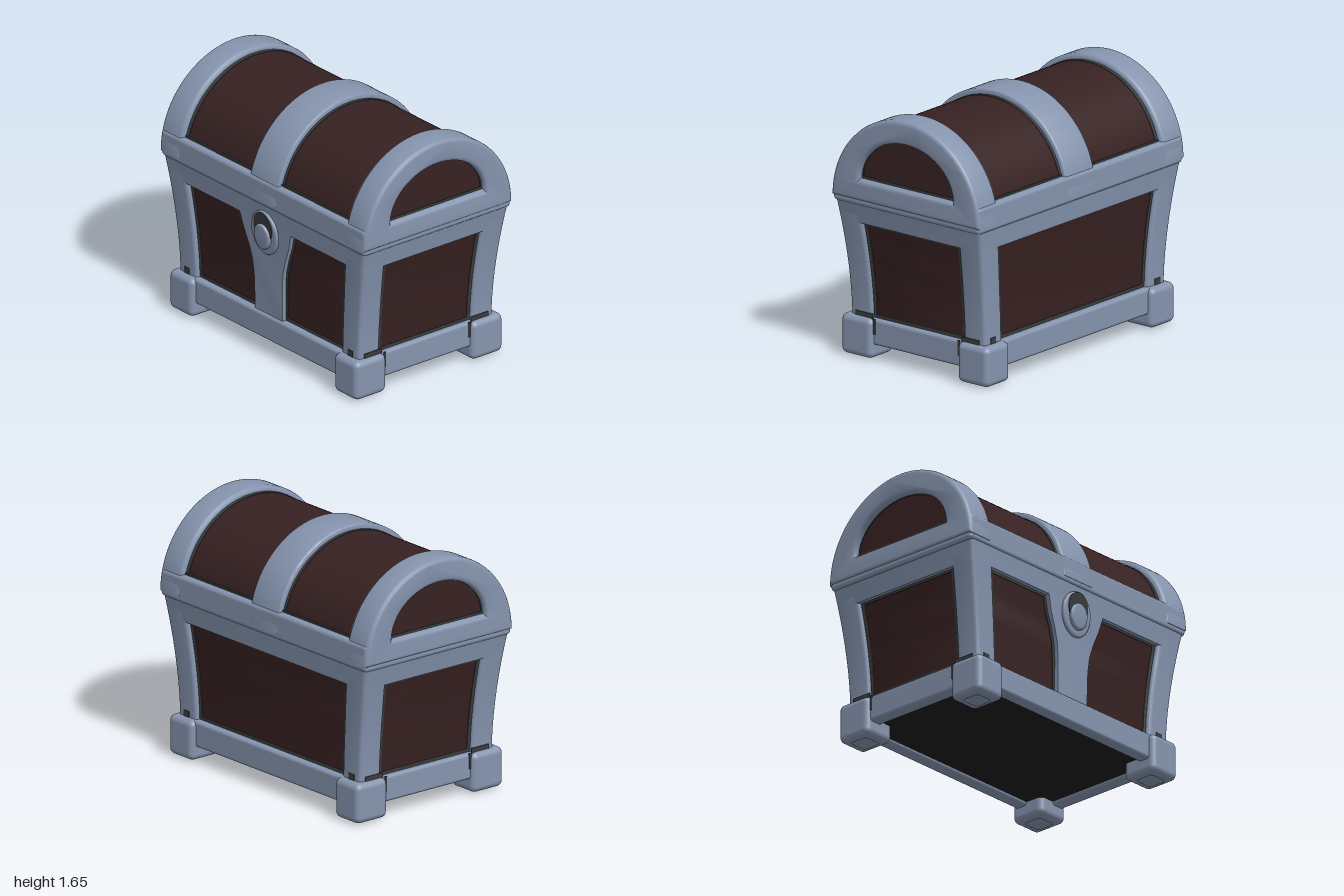
import * as THREE from 'three';
import { toCreasedNormals } from 'three/addons/utils/BufferGeometryUtils.js';
import { RoundedBoxGeometry } from 'three/addons/geometries/RoundedBoxGeometry.js';

const mat = (name, color) => new THREE.MeshStandardMaterial({ name, color });

export function createModel() {
  const group = new THREE.Group();
  const metal = mat('steel', 0x8594ae);
  const wood = mat('darkWood', 0x372122);
  const trim = mat('darkTrim', 0x3b3c3d);
  const under = mat('underside', 0x1e1e1e);

  const add = (name, geo, material) => {
    const mesh = new THREE.Mesh(geo, material);
    mesh.name = name;
    group.add(mesh);
    return mesh;
  };

  // Body walls flare outward toward the lid
  const flare = (geo) => {
    const p = geo.attributes.position;
    for (let i = 0; i < p.count; i++) {
      const t = Math.max(0, (p.getY(i) - 0.25) / 0.785);
      p.setX(i, p.getX(i) * (0.542 + 0.043 * t ** 2) / 0.585);
      p.setZ(i, p.getZ(i) * (0.872 + 0.103 * t ** 1.6) / 0.975);
    }
    return toCreasedNormals(geo, 0.6);
  };

  // Upright flared block with rounded vertical corners
  const upright = (name, material, x0, x1, y0, y1, z0, z1, r) => {
    const s = new THREE.Shape();
    s.moveTo(x0 + r, -z1);
    s.lineTo(x1 - r, -z1); s.quadraticCurveTo(x1, -z1, x1, -z1 + r);
    s.lineTo(x1, -z0 - r); s.quadraticCurveTo(x1, -z0, x1 - r, -z0);
    s.lineTo(x0 + r, -z0); s.quadraticCurveTo(x0, -z0, x0, -z0 - r);
    s.lineTo(x0, -z1 + r); s.quadraticCurveTo(x0, -z1, x0 + r, -z1);
    const geo = new THREE.ExtrudeGeometry(s, { depth: y1 - y0, steps: 8, bevelEnabled: false, curveSegments: 4 });
    geo.rotateX(-Math.PI / 2).translate(0, y0, 0);
    return add(name, flare(geo), material);
  };

  const box = (name, material, x0, x1, y0, y1, z0, z1, r = 0) => {
    const w = x1 - x0, h = y1 - y0, d = z1 - z0;
    const geo = r ? new RoundedBoxGeometry(w, h, d, 4, r) : new THREE.BoxGeometry(w, h, d);
    return add(name, geo.translate((x0 + x1) / 2, (y0 + y1) / 2, (z0 + z1) / 2), material);
  };

  // Half-ellipse profile, and its extrusion along z
  const arch = (a, b, y, Kind = THREE.Shape) => {
    const s = new Kind();
    s.moveTo(a, y);
    s.absellipse(0, y, a, b, 0, Math.PI, false);
    s.closePath();
    return s;
  };
  const archSolid = (name, material, shape, z0, z1, bevel = 0) => {
    const geo = new THREE.ExtrudeGeometry(shape, {
      depth: z1 - z0 - 2 * bevel, curveSegments: 32, bevelEnabled: bevel > 0,
      bevelThickness: bevel, bevelSize: bevel, bevelOffset: -bevel, bevelSegments: 3,
    });
    geo.translate(0, 0, z0 + bevel);
    return add(name, toCreasedNormals(geo, 0.6), material);
  };

  // Body
  upright('bodyPanels', wood, -0.55, 0.55, 0.14, 1.0, -0.945, 0.945, 0.01);
  upright('bodyRim', metal, -0.585, 0.585, 0.9, 1.03, -0.975, 0.975, 0.03);
  box('bottomPlate', under, -0.5, 0.5, 0.122, 0.13, -0.82, 0.82);

  for (const s of [-1, 1]) {
    const lo = (a, b) => Math.min(s * a, s * b);
    const hi = (a, b) => Math.max(s * a, s * b);
    // Base rails
    box('sideRail', metal, lo(0.47, 0.56), hi(0.47, 0.56), 0.1, 0.27, -0.86, 0.86, 0.02);
    box('endRail', metal, -0.53, 0.53, 0.1, 0.27, lo(0.79, 0.885), hi(0.79, 0.885), 0.02);
    // Dark seams along the top and bottom of the body panels
    for (const [y0, y1] of [[0.26, 0.292], [0.885, 0.905]]) {
      upright('endSeam', trim, -0.42, 0.42, y0, y1, lo(0.94, 0.95), hi(0.94, 0.95), 0.001);
      upright('sideSeam', trim, lo(0.545, 0.555), hi(0.545, 0.555), y0, y1, -0.8, 0.8, 0.001);
    }
    for (const t of [-1, 1]) {
      const tl = (a, b) => Math.min(t * a, t * b);
      const th = (a, b) => Math.max(t * a, t * b);
      // Corner posts and feet
      upright('cornerPost', metal, lo(0.4, 0.585), hi(0.4, 0.585), 0.2, 0.95, tl(0.785, 0.975), th(0.785, 0.975), 0.03);
      box('foot', metal, lo(0.345, 0.595), hi(0.345, 0.595), 0.01, 0.27, tl(0.685, 0.915), th(0.685, 0.915), 0.04);
      box('footPad', metal, lo(0.4, 0.54), hi(0.4, 0.54), 0, 0.06, tl(0.73, 0.87), th(0.73, 0.87), 0.025);
      // Dark seams beside the posts and around the feet
      upright('endPostSeam', trim, lo(0.375, 0.405), hi(0.375, 0.405), 0.27, 0.9, tl(0.94, 0.95), th(0.94, 0.95), 0.001);
      upright('sidePostSeam', trim, lo(0.545, 0.555), hi(0.545, 0.555), 0.27, 0.9, tl(0.76, 0.79), th(0.76, 0.79), 0.001);
      box('footSeam', trim, lo(0.36, 0.5), hi(0.36, 0.5), 0.262, 0.298, tl(0.872, 0.88), th(0.872, 0.88));
      box('railSeam', trim, lo(0.333, 0.35), hi(0.333, 0.35), 0.17, 0.272, tl(0.882, 0.889), th(0.882, 0.889));
      box('footSpot', trim, lo(0.54, 0.547), hi(0.54, 0.547), 0.268, 0.31, tl(0.77, 0.82), th(0.77, 0.82));
    }
  }

  // Lid
  box('lidRim', metal, -0.592, 0.592, 1.025, 1.2, -0.99, 0.99, 0.025);
  archSolid('lidBarrel', wood, arch(0.56, 0.55, 1.06), -0.955, 0.955);
  archSolid('lidMiddleBand', metal, arch(0.595, 0.588, 1.06), -0.14, 0.135, 0.015);
  const seamArch = arch(0.564, 0.554, 1.06);
  for (const [z0, z1] of [[-0.16, -0.13], [0.125, 0.155]]) archSolid('middleBandSeam', trim, seamArch, z0, z1);

  for (const s of [-1, 1]) {
    const ring = arch(0.597, 0.588, 1.06);
    ring.holes.push(arch(0.38, 0.3, 1.195, THREE.Path));
    const z = (a, b) => [Math.min(s * a, s * b), Math.max(s * a, s * b)];
    archSolid('lidEndArch', metal, ring, ...z(0.8, 1.0), 0.025);
    archSolid('endArchSeam', trim, seamArch, ...z(0.775, 0.81));
    const outline = arch(0.42, 0.33, 1.19);
    outline.holes.push(arch(0.368, 0.275, 1.215, THREE.Path));
    archSolid('lidEndSeam', trim, outline, ...z(0.952, 0.96));
    box('lidSideSeam', trim, ...z(0.53, 0.55), 1.19, 1.212, -0.8, 0.8);
  }

  // Lock strap and lock on the -x side
  const sidePlate = (name, material, shape, x, depth, bevel = 0) => {
    const geo = new THREE.ExtrudeGeometry(shape, {
      depth: depth - bevel, bevelEnabled: bevel > 0, bevelSize: bevel, bevelThickness: bevel,
      bevelOffset: -bevel, bevelSegments: 3, curveSegments: 20,
    });
    geo.rotateY(-Math.PI / 2).translate(x, 0, 0);
    return add(name, flare(geo), material);
  };
  const strapShape = (grow) => {
    const half = [[0.15, 0.25], [0.15, 0.4], [0.15, 0.5], [0.16, 0.6], [0.19, 0.7], [0.23, 0.8], [0.26, 0.92]];
    const right = half.map(([w, y]) => new THREE.Vector2(w + grow, y));
    const left = half.map(([w, y]) => new THREE.Vector2(-w - grow, y)).reverse();
    return new THREE.Shape([...right, ...left]);
  };
  sidePlate('strapSeam', trim, strapShape(0.022), -0.546, 0.009);
  sidePlate('lockStrap', metal, strapShape(0), -0.54, 0.045);
  const disc = (r, y) => new THREE.Shape().absellipse(0, y, r, r * 1.15, 0, Math.PI * 2);
  sidePlate('lockPlate', metal, disc(0.13, 0.84), -0.575, 0.03, 0.012);
  sidePlate('keyhole', trim, disc(0.09, 0.88), -0.602, 0.008);
  sidePlate('lockKnob', metal, disc(0.075, 0.82), -0.595, 0.035, 0.012);

  return group;
}
